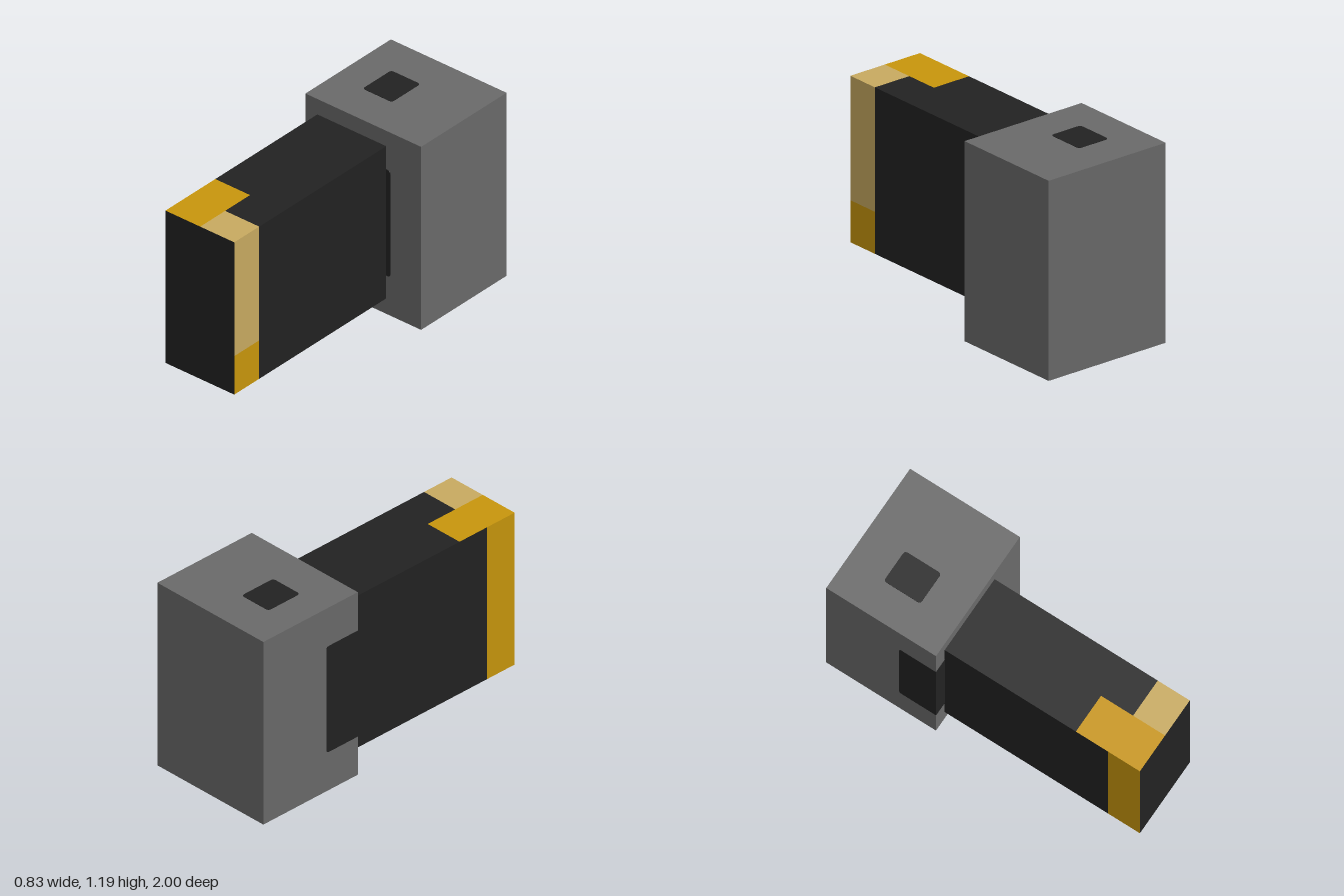
import * as THREE from 'three';

const paint = (name, color) => {
  const m = new THREE.MeshStandardMaterial({ color });
  m.name = name;
  return m;
};

export function createModel() {
  const grey = paint('grey', 0x6a6a6a);
  const black = paint('black', 0x222222);
  const gold = paint('gold', 0xc8960c);
  const tan = paint('tan', 0xc8aa60);
  const model = new THREE.Group();

  // Box given by its min and max on each axis; material may be one per side
  function block(name, [x0, x1], [y0, y1], [z0, z1], material) {
    const mesh = new THREE.Mesh(new THREE.BoxGeometry(x1 - x0, y1 - y0, z1 - z0), material);
    mesh.position.set((x0 + x1) / 2, (y0 + y1) / 2, (z0 + z1) / 2);
    mesh.name = name;
    model.add(mesh);
  }

  // Thin black plate with rounded corners; radii run: lower left, lower right, upper right, upper left
  const T = 0.002;
  function plate(name, w, h, [a, b, c, d], position, rotation) {
    const s = new THREE.Shape();
    const x = w / 2, y = h / 2;
    s.moveTo(-x + a, -y);
    s.lineTo(x - b, -y);
    s.quadraticCurveTo(x, -y, x, -y + b);
    s.lineTo(x, y - c);
    s.quadraticCurveTo(x, y, x - c, y);
    s.lineTo(-x + d, y);
    s.quadraticCurveTo(-x, y, -x, y - d);
    s.lineTo(-x, -y + a);
    s.quadraticCurveTo(-x, -y, -x + a, -y);
    const geometry = new THREE.ExtrudeGeometry(s, { depth: T, bevelEnabled: false, curveSegments: 3 });
    const mesh = new THREE.Mesh(geometry, black);
    mesh.position.set(...position);
    mesh.rotation.set(...rotation);
    mesh.name = name;
    model.add(mesh);
  }

  // Head block
  const X = 0.416, H = 1.19, Z = -0.28;
  block('head', [-X, X], [0, H], [-1, Z], grey);

  // Square sockets on top and bottom of the head
  const r = 0.02;
  plate('topSocket', 0.21, 0.24, [r, r, r, r], [-0.104, H, -0.64], [-Math.PI / 2, 0, 0]);
  plate('bottomSocket', 0.21, 0.24, [r, r, r, r], [-0.104, 0, -0.64], [Math.PI / 2, 0, 0]);

  // Dark patch wrapping from the front of the head onto its -x side
  plate('frontPatch', 0.612 + T, 0.69, [0, r, r, 0], [-X - T + (0.612 + T) / 2, 0.595, Z], [0, 0, 0]);
  plate('sidePatch', 0.24, 0.69, [r, 0, 0, r], [-X, 0.595, Z - 0.12], [0, -Math.PI / 2, 0]);

  // Handle, divided along its colour edges
  const left = [-0.33, -0.08], right = [-0.08, 0.165], full = [0.1, 1.09];
  const tip = [0.79, 1], tab = [0.58, 0.79];
  const blackFront = (m) => [m, m, m, m, black, m];
  block('handle', [-0.33, 0.165], full, [Z, 0.58], black);
  block('handleSide', right, full, tab, black);
  block('goldTab', left, full, tab, [black, black, gold, gold, black, black]);
  block('goldTip', left, full, tip, blackFront(gold));
  block('tanTip', right, [0.35, 1.09], tip, blackFront(tan));
  block('goldTipFoot', right, [0.1, 0.35], tip, blackFront(gold));

  return model;
}
